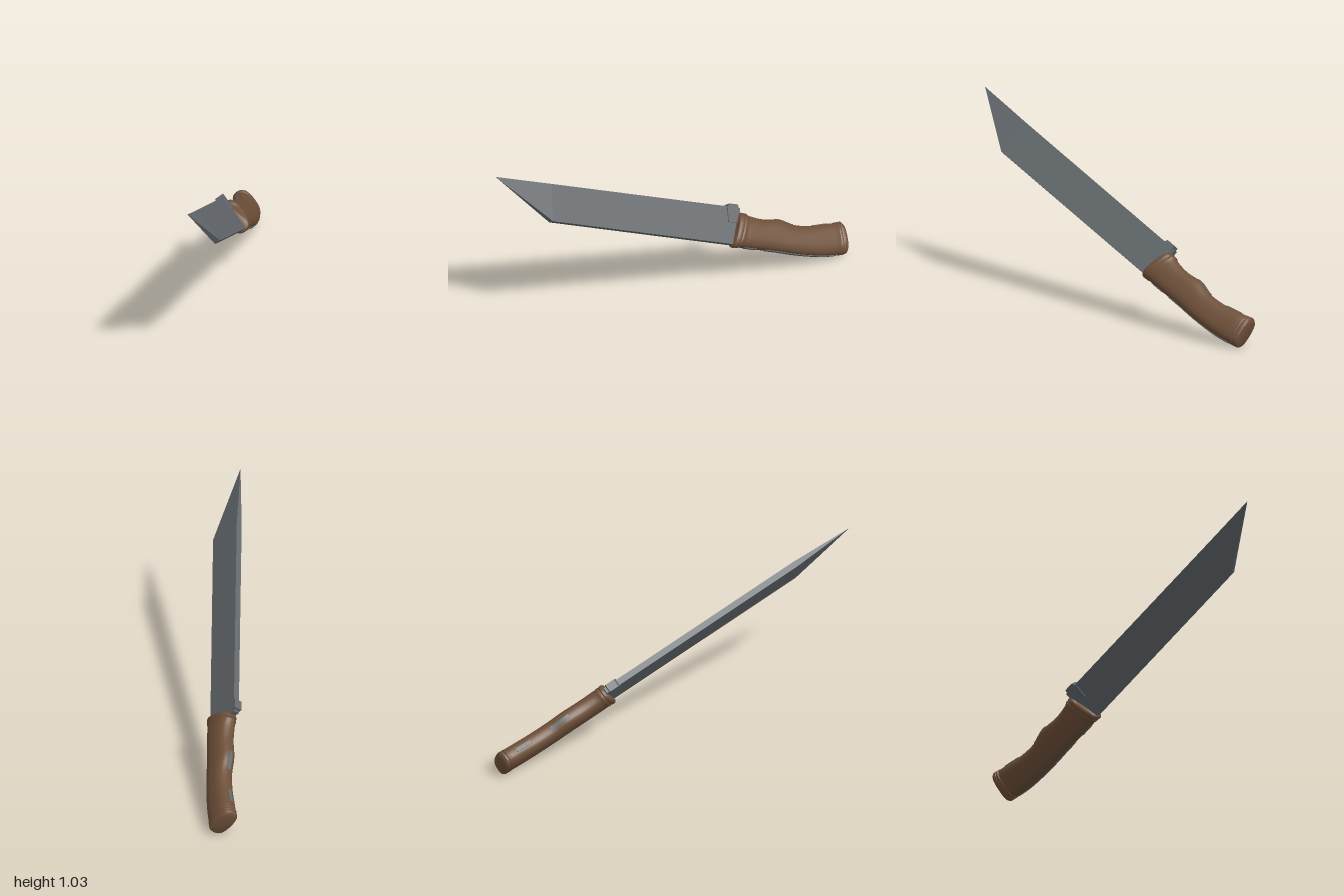
import * as THREE from 'three';
import { toCreasedNormals } from 'three/addons/utils/BufferGeometryUtils.js';

const steel = new THREE.MeshStandardMaterial({ color: 0x62676b });
steel.name = 'steel';
const wood = new THREE.MeshStandardMaterial({ color: 0x6e5039 });
wood.name = 'wood';

// Joins equal-sized loops of points (running toward -x) into a closed solid
function loft(loops) {
  const n = loops[0].length, pos = [], index = [];
  loops.forEach(l => l.forEach(p => pos.push(p.x, p.y, p.z)));
  for (let i = 0; i < loops.length - 1; i++) {
    for (let j = 0; j < n; j++) {
      const a = i * n + j, b = i * n + (j + 1) % n;
      index.push(a, a + n, b, b, a + n, b + n);
    }
  }
  const last = (loops.length - 1) * n;
  for (let j = 1; j < n - 1; j++) {
    index.push(0, j, j + 1);
    index.push(last, last + j + 1, last + j);
  }
  const g = new THREE.BufferGeometry();
  g.setAttribute('position', new THREE.Float32BufferAttribute(pos, 3));
  g.setIndex(index);
  return g;
}

// Flat plate from a side outline, centred on the blade plane
function plate(points, thickness) {
  const shape = new THREE.Shape(points.map(p => new THREE.Vector2(p[0], p[1])));
  const g = new THREE.ExtrudeGeometry(shape, { depth: thickness, bevelEnabled: false });
  return g.translate(0, 0, -thickness / 2);
}

// Grip stations: position along the knife, centre height, half height
const grip = new THREE.CatmullRomCurve3([
  [-0.105, 0.513, 0.094], [-0.25, 0.505, 0.084], [-0.38, 0.51, 0.088], [-0.48, 0.5, 0.08],
  [-0.59, 0.504, 0.081], [-0.69, 0.518, 0.086], [-0.808, 0.542, 0.086],
].map(p => new THREE.Vector3(...p)));
const HALF_WIDTH = 0.053;
const tiltAt = u => THREE.MathUtils.lerp(-0.022, 0.016, u);

// Rounded cross-section of the handle at u, scaled, and shifted along the knife
function section(u, scale = 1, shift = 0) {
  const p = grip.getPoint(u), loop = [], n = 28;
  const round = v => Math.sign(v) * Math.abs(v) ** 0.78;
  for (let j = 0; j < n; j++) {
    const a = (j / n) * Math.PI * 2;
    const up = round(Math.cos(a)) * scale;
    loop.push(new THREE.Vector3(p.x + shift + tiltAt(u) * up, p.y + p.z * up,
      round(Math.sin(a)) * HALF_WIDTH * scale));
  }
  return loop;
}

// Strip of tang showing along the top (side 1) or belly (side -1) of the grip
function tangStrip(u0, u1, side) {
  const loops = [], steps = 14, half = 0.011;
  for (let i = 0; i <= steps; i++) {
    const u = u0 + (u1 - u0) * i / steps, p = grip.getPoint(u);
    const edges = [p.y + side * (p.z + 0.003), p.y + side * (p.z - 0.02)];
    const hi = Math.max(...edges), lo = Math.min(...edges);
    const x = p.x + tiltAt(u) * side;
    loops.push([[hi, -half], [hi, half], [lo, half], [lo, -half]]
      .map(([y, z]) => new THREE.Vector3(x, y, z)));
  }
  return loft(loops);
}

export function createModel() {
  const knife = new THREE.Group();
  knife.name = 'knife';
  const add = (name, geometry, material, z = 0) => {
    const m = new THREE.Mesh(geometry, material);
    m.name = name;
    m.position.z = z;
    knife.add(m);
  };

  // Blade body, then the angled tip narrowing to a point
  const T = 0.034, belly = 0.43, spine = 0.636, bend = 1.115;
  add('blade', plate([[-0.13, belly], [bend, belly], [bend, spine], [-0.13, spine]], T), steel);
  const tip = plate([[bend, belly], [1.477, 0.64], [bend, spine]], T);
  const tp = tip.attributes.position;
  for (let i = 0; i < tp.count; i++) if (tp.getX(i) > 1.4) tp.setZ(i, 0);
  tip.computeVertexNormals();
  add('bladeTip', tip, steel);

  // Thumb tab on the spine next to the handle
  add('thumbTab', plate([[-0.125, 0.55], [-0.05, 0.55], [-0.045, 0.63], [-0.06, 0.652],
    [-0.115, 0.652]], 0.046), steel);

  // Grip with finger hump, front collar and end cap
  const loops = [];
  // collar
  [[0, 0.9, 0.008], [0, 1, 0.002], [0, 1.04, -0.006], [0, 1.04, -0.018], [0, 0.97, -0.024],
    [0, 1.02, -0.03], [0, 1.02, -0.038], [0, 0.97, -0.045]].forEach(a => loops.push(section(...a)));
  // body
  for (let i = 0; i <= 30; i++) loops.push(section(0.07 + 0.86 * i / 30));
  // end cap
  [[0.945, 0.97], [0.95, 1.03], [0.965, 1.03], [0.97, 0.98], [0.975, 1.03], [1, 1.03, 0.004],
    [1, 0.95, -0.006], [1, 0.7, -0.011], [1, 0.3, -0.014]].forEach(a => loops.push(section(...a)));
  add('handle', toCreasedNormals(loft(loops), 0.75), wood, -0.004);

  // Exposed tang
  [[0.3, 0.5, 1], [0.72, 0.88, 1], [0.08, 0.17, -1], [0.24, 0.93, -1]].forEach(([a, b, side]) =>
    add('tangStrip', toCreasedNormals(tangStrip(a, b, side), 0.6), steel, -0.004));

  // Pose: lean the knife so it points forward, up and to one side
  const along = new THREE.Vector3(-0.271, 0.386, 0.882).normalize();
  const side = new THREE.Vector3(-0.818, -0.575, 0).normalize();
  const up = new THREE.Vector3().crossVectors(side, along).normalize();
  side.crossVectors(along, up);
  const pose = new THREE.Matrix4().makeBasis(along, up, side).setPosition(0.352, 0, 0);
  knife.applyMatrix4(pose);

  const model = new THREE.Group();
  model.name = 'model';
  model.add(knife);
  return model;
}
